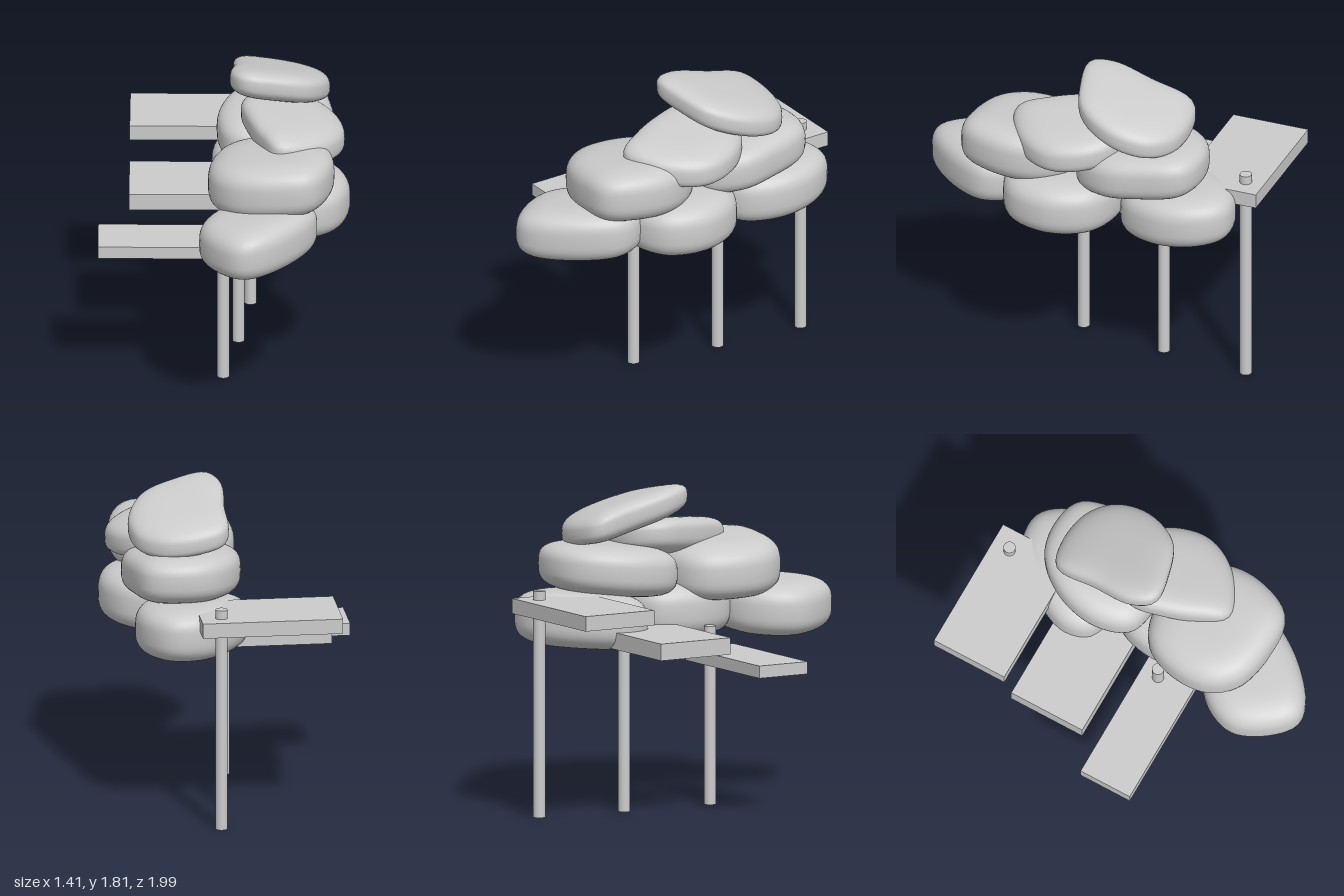
import * as THREE from 'three';

const material = new THREE.MeshStandardMaterial({ color: 0xcccccc, roughness: 0.8 });

// Pillow-shaped boulder: smooth plan outline (left, back, right, front), swept through
// a superellipse profile and sheared by a slope along x and z.
function boulder({ outline, bottom, top, slopeX = 0, slopeZ = 0, power = 0.52 }) {
  const N = 56, M = 26;
  const curve = new THREE.CatmullRomCurve3(
    outline.map(([x, z]) => new THREE.Vector3(x, 0, z)), true, 'centripetal');
  const ring = curve.getSpacedPoints(N).slice(0, N);
  const centre = ring.reduce((s, p) => s.add(p), new THREE.Vector3()).divideScalar(N);
  const half = (top - bottom) / 2, midY = (top + bottom) / 2;
  const positions = [], index = [];
  for (let j = 0; j <= M; j++) {
    const phi = (j / M - 0.5) * Math.PI;
    const r = Math.pow(Math.max(Math.cos(phi), 0), power);
    const s = Math.sin(phi);
    const y = Math.sign(s) * Math.pow(Math.abs(s), power + 0.12) * half;
    for (const p of ring) {
      const dx = (p.x - centre.x) * r, dz = (p.z - centre.z) * r;
      positions.push(centre.x + dx, midY + y + dx * slopeX + dz * slopeZ, centre.z + dz);
    }
  }
  for (let j = 0; j < M; j++) {
    for (let i = 0; i < N; i++) {
      const k = (i + 1) % N;
      const a = j * N + i, b = j * N + k, c = a + N, d = b + N;
      index.push(a, c, b, b, c, d);
    }
  }
  const geometry = new THREE.BufferGeometry();
  geometry.setAttribute('position', new THREE.Float32BufferAttribute(positions, 3));
  geometry.setIndex(index);
  geometry.computeVertexNormals();
  return geometry;
}

const boulders = {
  frontLowerBoulder: {
    bottom: 0.93, top: 1.24, slopeX: 0.07,
    outline: [[-0.14, 0.68], [-0.08, 0.5], [0.1, 0.36], [0.42, 0.37], [0.52, 0.54],
      [0.43, 0.75], [0.2, 0.97], [0.08, 0.99], [-0.05, 0.88]],
  },
  frontUpperBoulder: {
    bottom: 1.16, top: 1.49, slopeX: 0.08, slopeZ: 0.04,
    outline: [[-0.09, 0.3], [-0.02, 0.1], [0.1, 0.02], [0.4, 0.02], [0.58, 0.2],
      [0.61, 0.42], [0.5, 0.67], [0.3, 0.7], [0.05, 0.64], [-0.07, 0.5]],
  },
  middleLowerBoulder: {
    bottom: 0.93, top: 1.26,
    outline: [[0.02, 0.1], [0.1, -0.17], [0.38, -0.23], [0.6, -0.14], [0.7, 0.1],
      [0.62, 0.35], [0.4, 0.44], [0.12, 0.35]],
  },
  backLowerBoulder: {
    bottom: 0.92, top: 1.24, slopeZ: -0.06,
    outline: [[-0.08, -0.42], [-0.02, -0.6], [0.12, -0.79], [0.25, -0.88], [0.42, -0.88],
      [0.54, -0.74], [0.57, -0.5], [0.45, -0.27], [0.2, -0.22], [-0.03, -0.28]],
  },
  backUpperBoulder: {
    bottom: 1.2, top: 1.49, slopeZ: -0.09,
    outline: [[-0.05, -0.25], [0, -0.5], [0.15, -0.68], [0.35, -0.72], [0.52, -0.66],
      [0.6, -0.4], [0.61, -0.2], [0.5, -0.02], [0.25, 0], [0.03, -0.05]],
  },
  bridgingBoulder: {
    bottom: 1.38, top: 1.59, slopeX: -0.17, slopeZ: -0.04,
    outline: [[0.12, 0.08], [0.09, -0.1], [0.2, -0.25], [0.45, -0.27], [0.6, -0.15],
      [0.67, 0.06], [0.62, 0.22], [0.48, 0.36], [0.3, 0.42], [0.2, 0.28]],
  },
  topBoulder: {
    bottom: 1.545, top: 1.735, slopeX: -0.15, slopeZ: 0.26,
    outline: [[0.04, -0.3], [0.06, -0.55], [0.2, -0.6], [0.42, -0.57], [0.55, -0.45],
      [0.58, -0.25], [0.48, -0.04], [0.3, 0.04], [0.1, 0.06], [0.03, -0.06]],
  },
};

// Slabs as [min, max] ranges on each axis
const planks = {
  frontPlank: { x: [-0.71, 0.08], y: [0.82, 0.89], z: [0.035, 0.35] },
  middlePlank: { x: [-0.54, 0.25], y: [0.94, 1.035], z: [-0.505, -0.05] },
  backPlank: { x: [-0.54, 0.25], y: [1.145, 1.23], z: [-1, -0.55] },
};

const poles = {
  frontPole: { x: -0.01, z: 0.14, y: [0.01, 1.02] },
  middlePole: { x: 0.07, z: -0.375, y: [0, 1.08] },
  backPole: { x: 0.133, z: -0.893, y: [0, 1.28] },
};

export function createModel() {
  const model = new THREE.Group();
  model.name = 'boulderCanopy';
  const add = (name, geometry) => {
    const mesh = new THREE.Mesh(geometry, material);
    mesh.name = name;
    model.add(mesh);
    return mesh;
  };
  const size = ([a, b]) => b - a, mid = ([a, b]) => (a + b) / 2;

  // Stacked boulders
  for (const [name, spec] of Object.entries(boulders)) add(name, boulder(spec));

  // Stepped planks
  for (const [name, { x, y, z }] of Object.entries(planks)) {
    add(name, new THREE.BoxGeometry(size(x), size(y), size(z))).position.set(mid(x), mid(y), mid(z));
  }

  // Support poles
  for (const [name, { x, y, z }] of Object.entries(poles)) {
    add(name, new THREE.CylinderGeometry(0.034, 0.034, size(y), 32)).position.set(x, mid(y), z);
  }
  return model;
}
